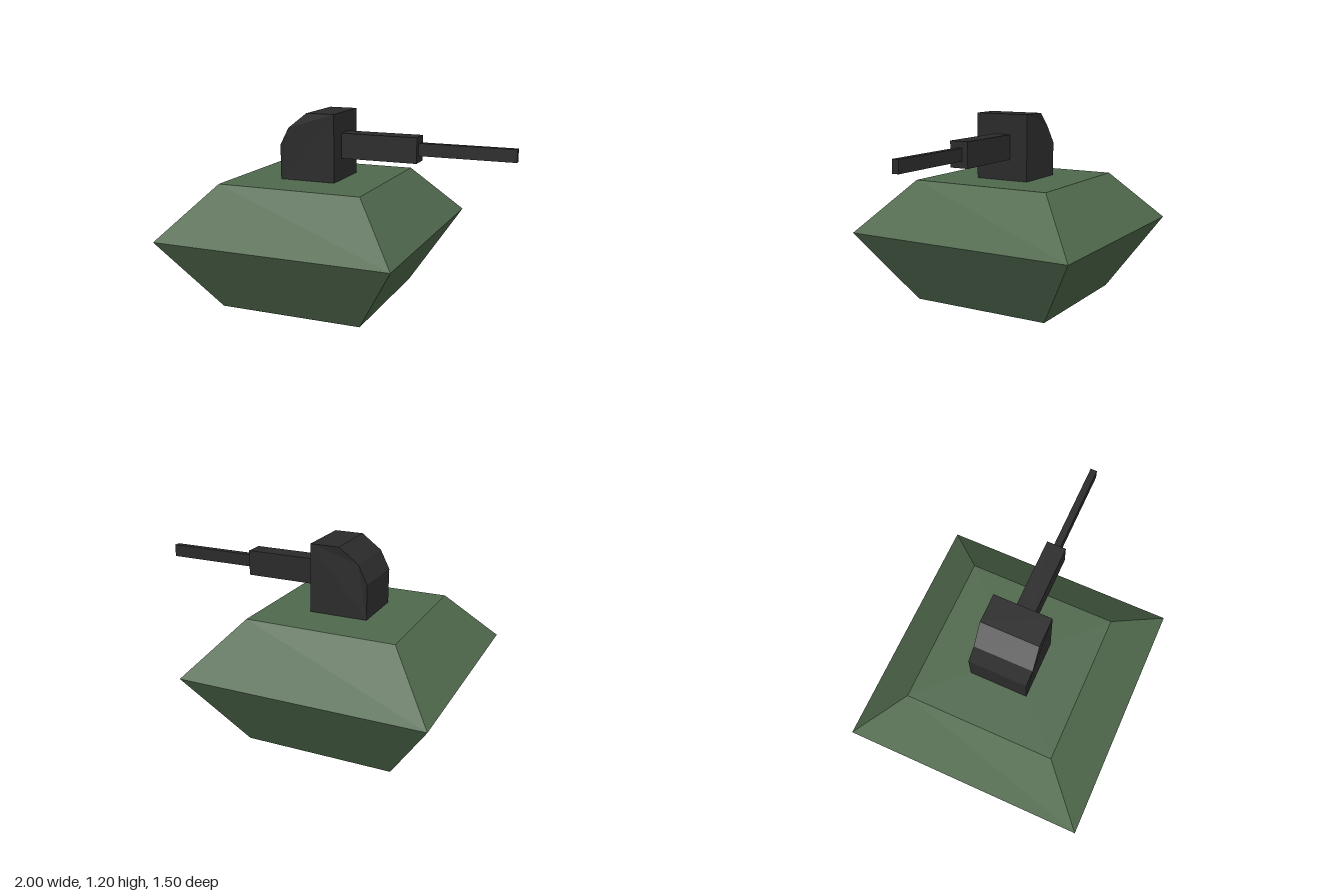
import * as THREE from 'three';

const green = new THREE.MeshStandardMaterial({ color: 0x4f684c, flatShading: true });
const dark = new THREE.MeshStandardMaterial({ color: 0x2b2b2b, flatShading: true });

function add(group, name, geometry, material) {
  const mesh = new THREE.Mesh(geometry, material);
  mesh.name = name;
  group.add(mesh);
  return mesh;
}

// Box given by its x range, its height range and its half depth
function bar(x0, x1, y0, y1, halfZ) {
  return new THREE.BoxGeometry(x1 - x0, y1 - y0, halfZ * 2)
    .translate((x0 + x1) / 2, (y0 + y1) / 2, 0);
}

export function createModel() {
  const model = new THREE.Group();
  model.name = 'tank';

  // Hull: square double frustum, profile of [half width, height]
  const profile = [[0, 0], [0.46, 0], [0.75, 0.463], [0.46, 0.785], [0, 0.785]]
    .map(([half, y]) => new THREE.Vector2(half * Math.SQRT2, y));
  const hull = new THREE.LatheGeometry(profile, 4).rotateY(Math.PI / 4);
  add(model, 'hull', hull, green).position.x = -0.25;

  // Turret: block with a bevelled rear edge
  const side = new THREE.Shape([
    [-0.43, 0.785], [-0.07, 0.785], [-0.07, 1.203], [-0.25, 1.203], [-0.367, 1.11], [-0.43, 1.0],
  ].map(([x, y]) => new THREE.Vector2(x, y)));
  const turret = new THREE.ExtrudeGeometry(side, { depth: 0.36, bevelEnabled: false })
    .translate(0, 0, -0.18);
  // The middle bevel edge sits slightly forward in z
  const p = turret.attributes.position;
  for (let i = 0; i < p.count; i++) {
    if (Math.abs(p.getY(i) - 1.11) < 0.001) p.setZ(i, p.getZ(i) + 0.012);
  }
  turret.computeVertexNormals();
  add(model, 'turret', turret, dark);

  // Gun: thick sleeve, then slim barrel
  add(model, 'gunSleeve', bar(-0.07, 0.413, 0.918, 1.075, 0.06), dark);
  add(model, 'gunBarrel', bar(0.413, 1, 0.959, 1.036, 0.021), dark);

  return model;
}
